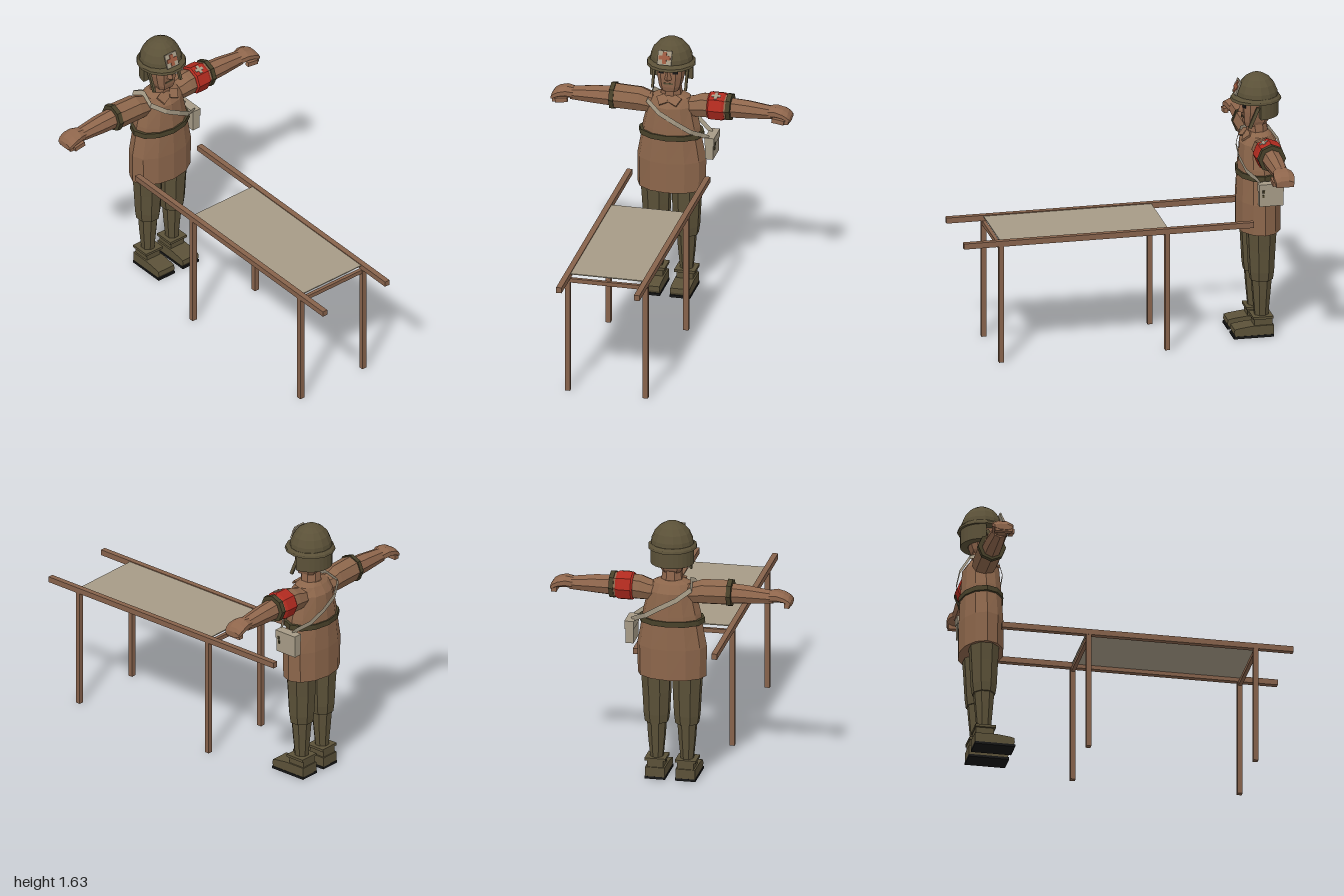
import * as THREE from 'three';

const mat = (name, color, opts = {}) => new THREE.MeshStandardMaterial({ name, color, ...opts });
const M = {
  tunic: mat('brown cloth', 0x8c664b),
  skin: mat('skin', 0x8f664c),
  wood: mat('wood', 0x86624b),
  olive: mat('olive cloth', 0x5b5138),
  belt: mat('dark olive webbing', 0x474029),
  canvas: mat('canvas', 0xa69b86, { side: THREE.DoubleSide }),
  red: mat('red', 0xb02a1f),
  rust: mat('rust cross', 0x9c5a40),
  black: mat('black', 0x171717),
};
const BZ = -0.86; // depth of the standing figure

// Faceted mesh added to a parent
function add(parent, name, geo, material, x = 0, y = 0, z = 0) {
  const g = geo.index ? geo.toNonIndexed() : geo;
  g.computeVertexNormals();
  const m = new THREE.Mesh(g, material);
  m.name = name;
  m.position.set(x, y, z);
  parent.add(m);
  return m;
}
const box = (parent, name, material, w, h, d, x, y, z) =>
  add(parent, name, new THREE.BoxGeometry(w, h, d), material, x, y, z);

// Capped loft along y; each section is [y, centreX, centreZ, halfX, halfZ]
function loft(sections, n = 8, offset = 0, power = 1) {
  const pos = [], idx = [];
  const bend = v => Math.sign(v) * Math.abs(v) ** power;
  const norm = bend(Math.cos(offset));
  for (const [y, cx, cz, rx, rz] of sections)
    for (let i = 0; i < n; i++) {
      const a = offset + (i / n) * Math.PI * 2;
      pos.push(cx + (rx * bend(Math.cos(a))) / norm, y, cz + (rz * bend(Math.sin(a))) / norm);
    }
  const last = (sections.length - 1) * n;
  for (let s = 0; s < last; s += n)
    for (let i = 0; i < n; i++) {
      const a = s + i, b = s + (i + 1) % n;
      idx.push(a, a + n, b, b, a + n, b + n);
    }
  for (let i = 1; i < n - 1; i++) idx.push(0, i, i + 1, last, last + i + 1, last + i);
  const g = new THREE.BufferGeometry();
  g.setAttribute('position', new THREE.Float32BufferAttribute(pos, 3));
  g.setIndex(idx);
  return g;
}
// Loft along +x or -x; each section is [distance, centreY, halfY, halfZ]
const armLoft = (side, sections, n = 8, offset = 0) =>
  loft(sections.map(([t, cy, ry, rz]) => [t, -side * cy, -0.865, ry, rz]), n, offset)
    .rotateZ((-side * Math.PI) / 2);

function cross(parent, name, material, size, thick, x, y, z, tilt) {
  const g = new THREE.Group();
  g.name = name;
  g.position.set(x, y, z);
  g.rotation.x = tilt;
  box(g, 'crossUpright', material, size * 0.34, size, thick, 0, 0, 0);
  for (const s of [-1, 1])
    box(g, 'crossArm', material, size * 0.33, size * 0.34, thick, s * size * 0.335, 0, 0);
  parent.add(g);
}

function buildStretcher(root) {
  const g = new THREE.Group();
  g.name = 'stretcher';
  for (const s of [-1, 1]) {
    box(g, 'pole', M.wood, 0.034, 0.035, 1.78, s * 0.24, 0.753, 0.11);
    for (const z of [0.77, -0.25]) box(g, 'leg', M.wood, 0.032, 0.74, 0.03, s * 0.24, 0.37, z);
  }
  for (const z of [0.77, -0.25]) box(g, 'crossBar', M.wood, 0.46, 0.026, 0.022, 0, 0.723, z);
  box(g, 'canvasBed', M.canvas, 0.45, 0.006, 1.03, 0, 0.762, 0.257);
  root.add(g);
}

function buildLeg(parent, s) {
  const x = s * 0.093;
  add(parent, 'trouserLeg', loft([
    [0.355, x, BZ, 0.068, 0.066], [0.41, x, BZ, 0.075, 0.073], [0.55, x, BZ, 0.082, 0.08],
    [0.7, x * 1.04, BZ, 0.088, 0.088]], 8, Math.PI / 8), M.olive);
  add(parent, 'gaiter', loft([
    [0.12, x, BZ, 0.037, 0.04], [0.26, x, BZ, 0.05, 0.052], [0.36, x, BZ, 0.056, 0.06]],
    8, Math.PI / 8), M.olive);
  box(parent, 'bootCuff', M.olive, 0.128, 0.016, 0.125, x, 0.122, BZ);
  box(parent, 'bootAnkle', M.olive, 0.1, 0.05, 0.11, x, 0.092, BZ - 0.003);
  // Boot from its side profile, rounded at the toe
  const p = new THREE.Shape([[-0.925, 0.014], [-0.69, 0.014], [-0.682, 0.03], [-0.685, 0.058],
    [-0.71, 0.064], [-0.79, 0.074], [-0.925, 0.074]].map(q => new THREE.Vector2(...q)));
  add(parent, 'boot', new THREE.ExtrudeGeometry(p, { depth: 0.12, bevelEnabled: false })
    .rotateY(-Math.PI / 2).translate(0.06, 0, 0), M.olive, x);
  box(parent, 'bootSole', M.black, 0.126, 0.015, 0.246, x, 0.0075, -0.803);
}

function buildArm(parent, s) {
  add(parent, 'sleeve', armLoft(s, [[0.08, 1.185, 0.06, 0.06], [0.135, 1.19, 0.066, 0.072],
    [0.19, 1.2, 0.078, 0.078], [0.35, 1.205, 0.079, 0.08]]), M.tunic);
  add(parent, 'sleeveCuff', armLoft(s, [[0.345, 1.205, 0.087, 0.087], [0.373, 1.205, 0.085, 0.085]]), M.belt);
  add(parent, 'forearm', armLoft(s, [[0.36, 1.2, 0.065, 0.06], [0.47, 1.2, 0.058, 0.058],
    [0.62, 1.195, 0.042, 0.046]]), M.skin);
  add(parent, 'hand', armLoft(s, [[0.6, 1.198, 0.036, 0.044], [0.645, 1.207, 0.035, 0.056],
    [0.69, 1.2, 0.03, 0.062], [0.72, 1.184, 0.028, 0.06], [0.735, 1.172, 0.018, 0.054]],
    8, Math.PI / 8), M.skin);
  box(parent, 'curledFingers', M.skin, 0.032, 0.03, 0.105, s * 0.712, 1.162, -0.865);
  box(parent, 'thumb', M.skin, 0.075, 0.028, 0.026, s * 0.668, 1.168, -0.808).rotation.z = s * -0.15;
}

function buildTorso(parent) {
  add(parent, 'tunic', loft([[0.66, 0, BZ, 0.21, 0.135], [0.85, 0, BZ, 0.213, 0.135],
    [1.0, 0, BZ, 0.185, 0.127], [1.06, 0, BZ, 0.178, 0.123], [1.2, 0, BZ, 0.145, 0.113],
    [1.25, 0, BZ, 0.118, 0.08], [1.27, 0, BZ, 0.065, 0.062]], 12), M.tunic);
  add(parent, 'belt', loft([[1.0, 0, BZ, 0.203, 0.136], [1.032, 0, BZ, 0.2, 0.134]], 12), M.belt);
  add(parent, 'neck', loft([[1.23, 0, -0.858, 0.066, 0.06], [1.34, 0, -0.853, 0.054, 0.055]],
    8, Math.PI / 8), M.skin);
  for (const s of [-1, 1]) {
    const lapel = box(parent, 'collarFlap', M.tunic, 0.055, 0.06, 0.012, s * 0.04, 1.247, -0.782);
    lapel.rotation.set(-0.85, 0, s * -0.45);
  }
  // Shoulder strap: a ribbon across the chest and back
  const path = [[-0.12, 1.272, 0], [-0.135, 1.235, 0.085], [-0.05, 1.175, 0.13], [0.05, 1.12, 0.133],
    [0.14, 1.06, 0.108], [0.205, 1.025, 0.06], [0.235, 1.005, 0.045]];
  for (const s of [-1, 1]) {
    const pos = [], idx = [];
    path.forEach(([x, y, d], i) => {
      pos.push(x - 0.006, y - 0.014, -0.867 + s * d, x + 0.006, y + 0.014, -0.867 + s * d);
      if (i) idx.push(2 * i - 2, 2 * i, 2 * i - 1, 2 * i - 1, 2 * i, 2 * i + 1);
    });
    const g = new THREE.BufferGeometry();
    g.setAttribute('position', new THREE.Float32BufferAttribute(pos, 3));
    g.setIndex(s > 0 ? idx : idx.reverse());
    add(parent, 'bagStrap', g, M.canvas);
  }
  // Satchel
  box(parent, 'satchel', M.canvas, 0.05, 0.138, 0.145, 0.241, 0.938, -0.885);
  box(parent, 'satchelFlap', M.canvas, 0.058, 0.05, 0.152, 0.243, 0.984, -0.885);
  for (const y of [0.935, 0.965])
    box(parent, 'satchelBuckle', M.belt, 0.008, 0.018, 0.012, y > 0.95 ? 0.274 : 0.269, y, -0.835);
}

function buildHead(parent) {
  add(parent, 'head', loft([[1.305, 0, -0.835, 0.052, 0.058], [1.335, 0, -0.842, 0.064, 0.072],
    [1.4, 0, -0.85, 0.075, 0.084], [1.51, 0, -0.852, 0.08, 0.088]], 8, Math.PI / 8, 0.55), M.skin);
  add(parent, 'nose', loft([[1.388, 0, -0.766, 0.022, 0.026], [1.4, 0, -0.766, 0.02, 0.026],
    [1.455, 0, -0.768, 0.008, 0.008]], 4), M.skin);
  box(parent, 'mouth', M.olive, 0.06, 0.01, 0.006, 0, 1.36, -0.769);
  for (const s of [-1, 1]) {
    box(parent, 'eye', M.black, 0.032, 0.018, 0.008, s * 0.044, 1.435, -0.768).rotation.y = s * 0.25;
    const brow = box(parent, 'eyebrow', M.belt, 0.045, 0.01, 0.009, s * 0.042, 1.452, -0.766);
    brow.rotation.z = s * 0.2;
    box(parent, 'chinStrap', M.olive, 0.014, 0.135, 0.02, s * 0.102, 1.378, -0.815).rotation.x = -0.4;
  }
  // Helmet: dome, brim and guard round the back and sides
  const dome = new THREE.SphereGeometry(1, 14, 5, 0, Math.PI * 2, 0, Math.PI / 2).scale(0.133, 0.155, 0.128);
  add(parent, 'helmetDome', dome, M.olive, 0, 1.475, -0.855);
  add(parent, 'helmetBrim', loft([[1.467, 0, -0.847, 0.149, 0.155], [1.482, 0, -0.848, 0.146, 0.15],
    [1.496, 0, -0.855, 0.132, 0.128]], 14), M.olive).rotation.x = 0;
  const ring = new THREE.Shape();
  ring.absarc(0, 0, 0.133, 0, Math.PI, false);
  ring.absarc(0, 0, 0.086, Math.PI, 0, true);
  add(parent, 'neckGuard', new THREE.ExtrudeGeometry(ring, { depth: 0.105, bevelEnabled: false, curveSegments: 7 })
    .rotateX(-Math.PI / 2), M.olive, 0, 1.37, -0.85);
  // Badge on the helmet front
  box(parent, 'helmetBadge', M.canvas, 0.086, 0.088, 0.009, -0.013, 1.543, -0.735).rotation.x = -0.36;
  cross(parent, 'helmetCross', M.rust, 0.072, 0.006, -0.013, 1.546, -0.729, -0.36);
}

export function createModel() {
  const root = new THREE.Group();
  root.name = 'medicWithStretcher';
  buildStretcher(root);
  const figure = new THREE.Group();
  figure.name = 'medic';
  for (const s of [-1, 1]) {
    buildLeg(figure, s);
    buildArm(figure, s);
  }
  buildTorso(figure);
  buildHead(figure);
  // Armband on the left sleeve
  add(figure, 'armband', armLoft(1, [[0.23, 1.203, 0.08, 0.08], [0.24, 1.203, 0.09, 0.09],
    [0.32, 1.203, 0.09, 0.09], [0.335, 1.203, 0.08, 0.08]]), M.red);
  const a = (67.5 * Math.PI) / 180, r = 0.0845;
  cross(figure, 'armbandCross', M.canvas, 0.054, 0.005, 0.28,
    1.203 + r * Math.sin(a), -0.865 + r * Math.cos(a), -a);
  root.add(figure);
  return root;
}
